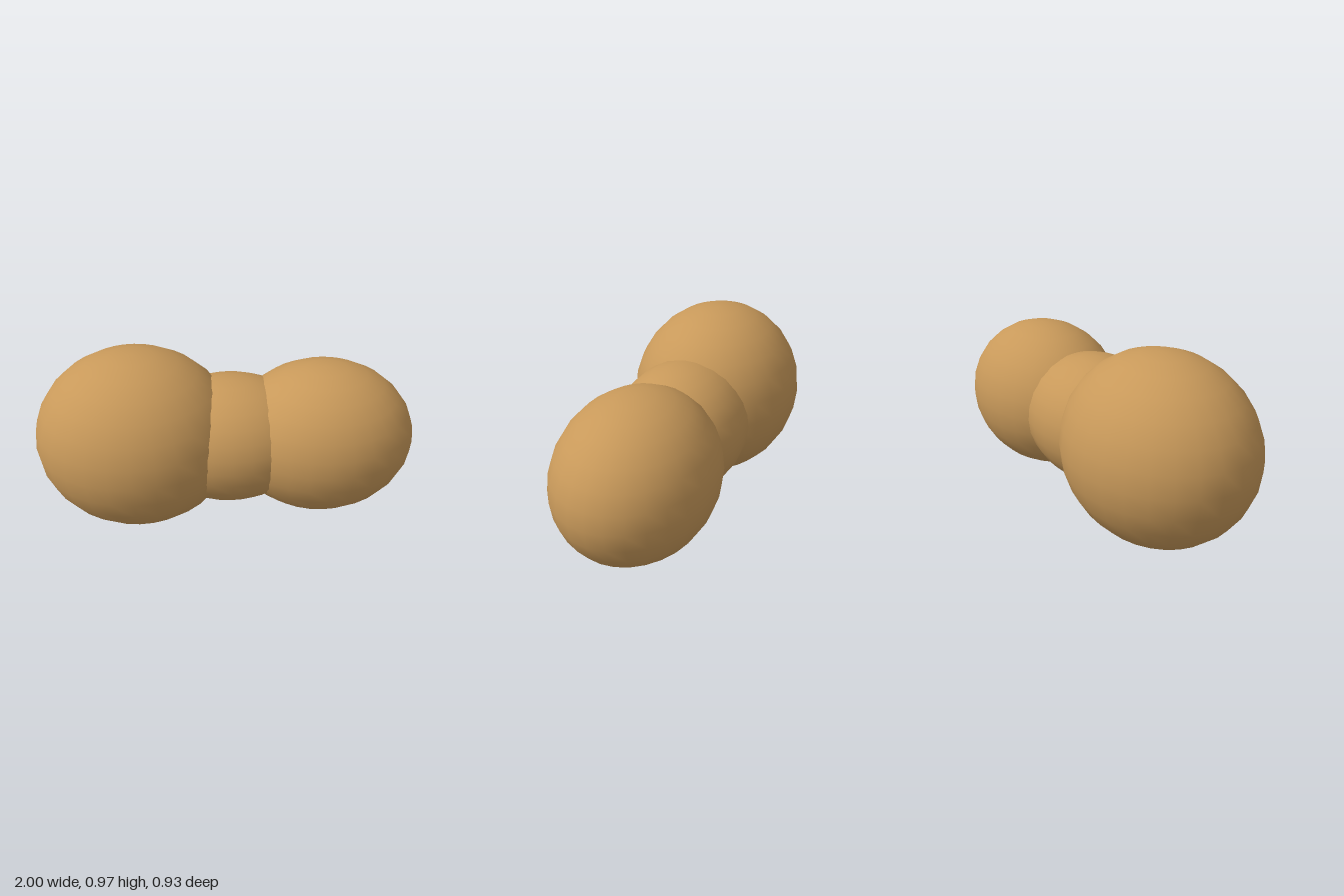
import * as THREE from 'three';

export function createModel() {
  const group = new THREE.Group();
  const material = new THREE.MeshStandardMaterial({ color: 0xc8995a });
  const ball = new THREE.SphereGeometry(1, 28, 14);

  // Each lobe is a smooth sphere stretched into an ellipsoid
  function lobe(name, position, radii) {
    const mesh = new THREE.Mesh(ball, material);
    mesh.name = name;
    mesh.position.set(...position);
    mesh.scale.set(...radii);
    group.add(mesh);
  }

  lobe('largeLobe', [-0.47, 0.489, 0], [0.53, 0.487, 0.463]);
  lobe('smallLobe', [0.51, 0.467, 0], [0.49, 0.418, 0.397]);
  // Neck joining the two lobes
  lobe('neck', [0.02, 0.468, 0], [0.46, 0.347, 0.347]);

  return group;
}
